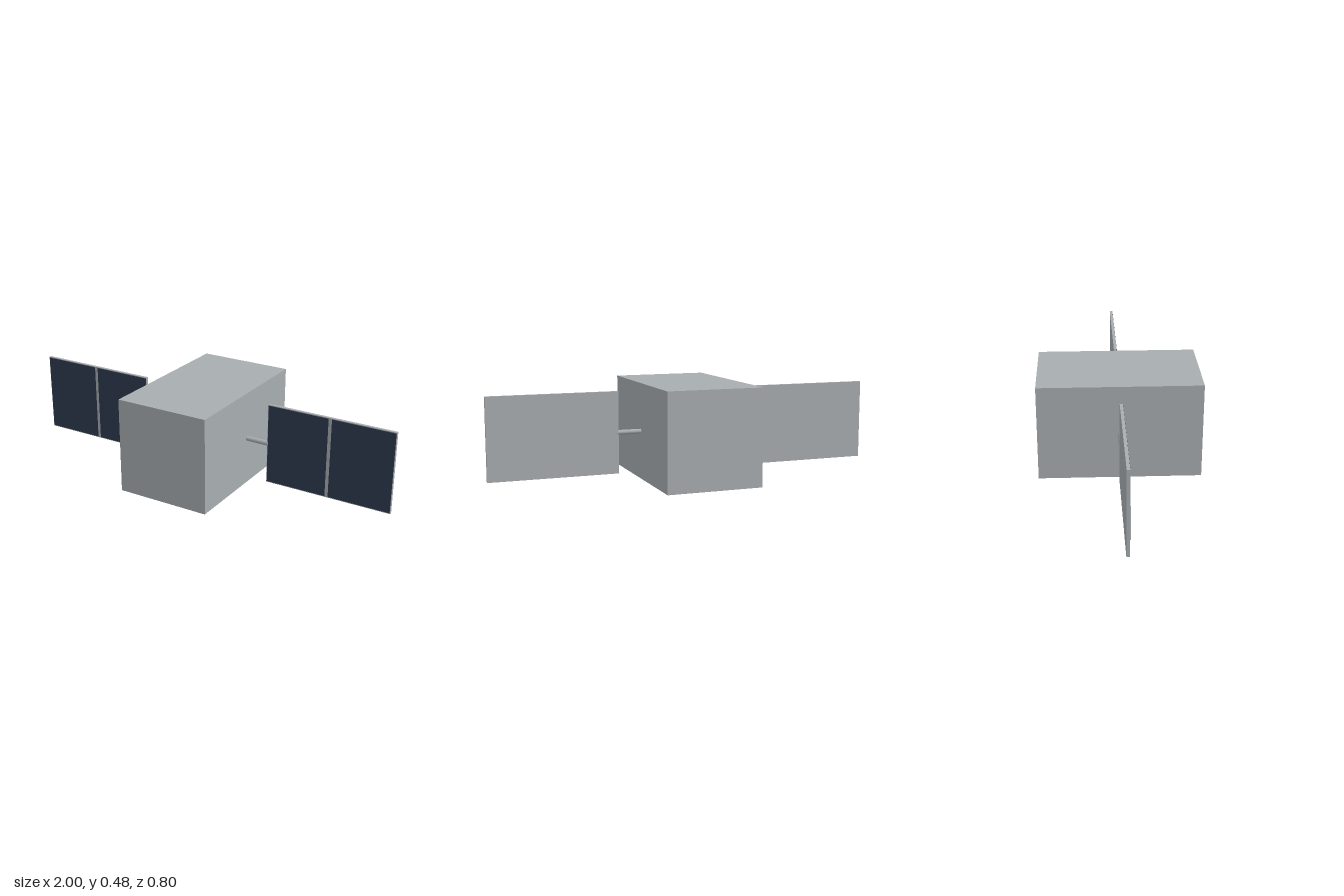
import * as THREE from 'three';

export function createModel() {
  const model = new THREE.Group();
  model.name = 'satellite';

  const grey = new THREE.MeshStandardMaterial({ color: 0xa8adb0 });
  grey.name = 'hull grey';
  const navy = new THREE.MeshStandardMaterial({ color: 0x2c3a4e });
  navy.name = 'solar cell navy';

  const centreY = 0.24;

  function add(parent, name, geometry, material, x, y, z) {
    const mesh = new THREE.Mesh(geometry, material);
    mesh.name = name;
    mesh.position.set(x, y, z);
    parent.add(mesh);
    return mesh;
  }

  // Main body
  add(model, 'body', new THREE.BoxGeometry(0.48, 0.48, 0.8), grey, 0, centreY, 0);

  // Solar wings, one on each side
  for (const side of [1, -1]) {
    const wing = new THREE.Group();
    wing.name = side > 0 ? 'leftWing' : 'rightWing';
    wing.position.y = centreY;
    model.add(wing);

    // Boom from the body to the panel
    const boom = new THREE.CylinderGeometry(0.012, 0.012, 0.13, 12).rotateZ(Math.PI / 2);
    add(wing, 'boom', boom, grey, side * 0.295, 0, 0);

    // Panel backing
    add(wing, 'panel', new THREE.BoxGeometry(0.645, 0.408, 0.015), grey, side * 0.6775, 0, -0.0005);

    // Two thin solar cells on the front, with a gap between them
    for (const half of [-1, 1]) {
      const x = side * 0.6775 + half * 0.1645;
      add(wing, 'solarCell', new THREE.BoxGeometry(0.312, 0.4, 0.002), navy, x, 0, 0.007);
    }
  }

  return model;
}
